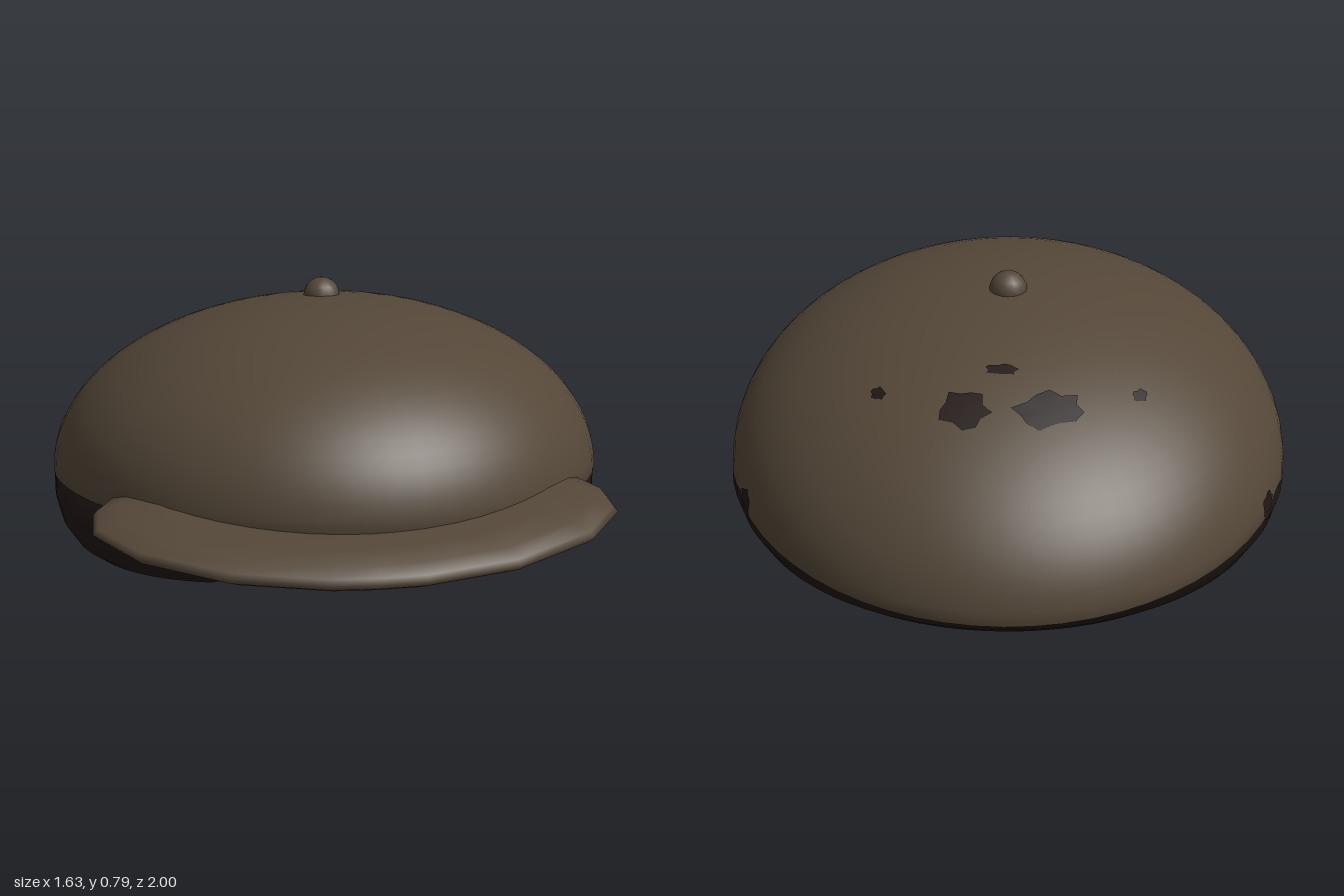
import * as THREE from 'three';

const CLOTH = new THREE.MeshStandardMaterial({ color: 0x544738 });
const HAIR = new THREE.MeshStandardMaterial({ color: 0x211715 });
const HAIR_PATCH = new THREE.MeshStandardMaterial({ color: 0x211715, side: THREE.DoubleSide });

// Height of the gently bowed, tilted line where the crown ends
const rim = (z) => 0.235 + 0.092 * z - 0.02 * z * z;

// Point on the crown: a runs round from the front, p goes down from the apex
function crownPoint(a, p, lift = 0) {
  const s = Math.sin(p) * (1 + lift);
  const z = -0.09 + 0.91 * s * Math.cos(a);
  return [0.815 * s * Math.sin(a), rim(z) + 0.51 * Math.cos(p) * (1 + lift), z];
}

// Surface from closed loops: point(i, j) with i round the loop, j from loop to loop
function loft(around, loops, point) {
  const pos = [], index = [];
  for (let j = 0; j < loops; j++) {
    for (let i = 0; i < around; i++) pos.push(...point(i, j));
  }
  for (let j = 0; j < loops - 1; j++) {
    for (let i = 0; i < around; i++) {
      const n = (i + 1) % around;
      const a = j * around + i, b = j * around + n;
      const c = a + around, d = b + around;
      index.push(a, c, b, b, c, d);
    }
  }
  return surface(pos, index);
}

function surface(pos, index) {
  const g = new THREE.BufferGeometry();
  g.setAttribute('position', new THREE.Float32BufferAttribute(pos, 3));
  g.setIndex(index);
  g.computeVertexNormals();
  return g;
}

// Domed cloth crown with a narrow hem turned under
function crownGeometry() {
  const N = 64, M = 20;
  return loft(N, M + 3, (i, j) => {
    const a = (i / N) * Math.PI * 2;
    if (j <= M) return crownPoint(a, (j / M) * Math.PI / 2);
    const s = j === M + 1 ? 0.985 : 0.86;
    const z = -0.09 + 0.91 * s * Math.cos(a);
    return [0.815 * s * Math.sin(a), rim(z) - (j === M + 1 ? 0.01 : 0), z];
  });
}

// Thick hair with a hollow for the head and an arch over the forehead
function hairGeometry() {
  const N = 96;
  // distance from the middle, height as a share of the crown line
  const profile = [[0.93, 1.15], [0.99, 0.95], [0.99, 0.62], [0.97, 0.38], [0.925, 0.17], [0.87, 0.05],
    [0.81, 0], [0.74, 0.04], [0.67, 0.14], [0.61, 0.4], [0.54, 0.75], [0.4, 1.05], [0.2, 1.22], [0, 1.27]];
  return loft(N, profile.length, (i, j) => {
    const a = (i / N) * Math.PI * 2;
    const [s, share] = profile[j];
    const sn = Math.sin(a), cs = Math.cos(a);
    const front = cs > 0;
    const e = front ? 0.75 : 1;
    const x = 0.82 * s * Math.sign(sn) * Math.abs(sn) ** e;
    const z = -0.09 + s * (front ? 0.575 : -0.855) * Math.abs(cs) ** e;
    const arch = front ? 1 - THREE.MathUtils.smoothstep(Math.abs(x), 0.02, 0.39) : 0;
    const f = THREE.MathUtils.lerp(share, Math.max(share, 1), arch);
    return [x, Math.min(f * 0.265, Math.max(f, 0.95) * rim(z)), z];
  });
}

// Stiff lens-shaped brim sloping down to the front
function brimGeometry() {
  const half = [[0, 1], [0.13, 0.995], [0.39, 0.935], [0.62, 0.8], [0.725, 0.65], [0.72, 0.52], [0.67, 0.43], [0.4, 0.4], [0, 0.4]];
  const outline = [...half, ...half.slice(1, -1).reverse().map(([x, z]) => [-x, z])];
  // scale towards the middle, height from the mid surface
  const section = [[0, 0.06], [0.5, 0.061], [0.75, 0.056], [0.9, 0.038], [0.98, 0.016], [1, 0],
    [0.975, -0.014], [0.9, -0.03], [0.75, -0.042], [0.5, -0.048], [0, -0.048]];
  return loft(outline.length, section.length, (i, j) => {
    const [s, h] = section[j];
    const x = outline[i][0] * s, z = 0.62 + (outline[i][1] - 0.62) * s;
    return [x, 0.22 + (1 - z) * 0.1 + 0.03 * x * x + h, z];
  });
}

// Ragged tuft of hair lying on the crown
function patchGeometry(a, p, da, dp) {
  const N = 13, pos = crownPoint(a, p, 0.005), index = [];
  for (let i = 0; i < N; i++) {
    const t = (i / N) * Math.PI * 2;
    const r = 0.9 + 0.17 * Math.sin(i * 2.3 + a * 5);
    pos.push(...crownPoint(a + da * r * Math.cos(t), p + dp * r * Math.sin(t), 0.005));
    index.push(0, i + 1, ((i + 1) % N) + 1);
  }
  return surface(pos, index);
}

export function createModel() {
  const model = new THREE.Group();
  model.name = 'flatCapWithHair';
  const add = (name, geometry, material) => {
    const mesh = new THREE.Mesh(geometry, material);
    mesh.name = name;
    model.add(mesh);
    return mesh;
  };

  add('crown', crownGeometry(), CLOTH);
  add('brim', brimGeometry(), CLOTH);
  add('hair', hairGeometry(), HAIR);

  // Button on top
  const button = add('button', new THREE.SphereGeometry(0.055, 16, 10), CLOTH);
  button.position.set(0, 0.73, -0.115);

  // Tufts showing through at the back
  const tufts = [
    [-2.894, 0.644, 0.21, 0.08], [2.91, 0.644, 0.15, 0.085], [3.11, 0.461, 0.14, 0.025],
    [-2.37, 0.7, 0.05, 0.028], [2.397, 0.688, 0.05, 0.028],
  ];
  // Tufts along the edge on both sides
  for (const side of [-1, 1]) {
    tufts.push([side * 1.93, 1.54, 0.14, 0.045], [side * 2.01, 1.485, 0.05, 0.06]);
  }
  tufts.forEach((t, i) => add(`hairTuft${i + 1}`, patchGeometry(...t), HAIR_PATCH));
  return model;
}
